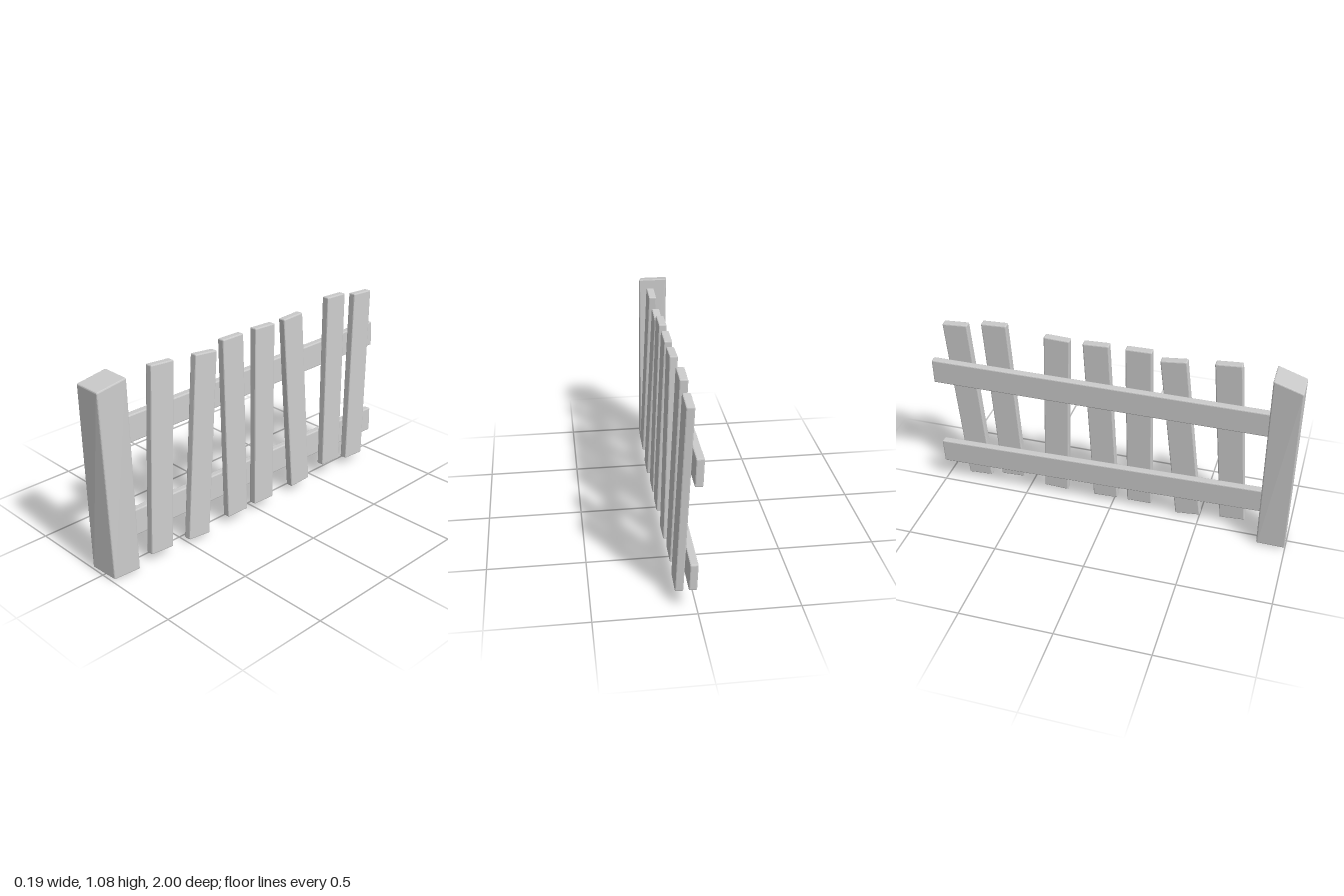
import * as THREE from 'three';
import { RoundedBoxGeometry } from 'three/addons/geometries/RoundedBoxGeometry.js';

const material = new THREE.MeshStandardMaterial({ color: 0xcccccc, flatShading: true });
const LEAN = 0.04; // the whole panel leans toward -x as it rises
const BEVEL = 0.006;

// Bevelled board from a to b; its thickness faces the leaning panel's normal
function board(name, a, b, width, thickness) {
  const along = b.clone().sub(a);
  const geometry = new RoundedBoxGeometry(thickness, along.length(), width, 1, BEVEL);
  const yAxis = along.normalize();
  const normal = new THREE.Vector3(1, LEAN, 0);
  const zAxis = new THREE.Vector3().crossVectors(normal, yAxis).normalize();
  const xAxis = new THREE.Vector3().crossVectors(yAxis, zAxis);
  geometry.applyMatrix4(new THREE.Matrix4().makeBasis(xAxis, yAxis, zAxis));
  const mesh = new THREE.Mesh(geometry, material);
  mesh.name = name;
  mesh.position.copy(a).add(b).multiplyScalar(0.5);
  return mesh;
}

// Point on a leaning plane; offset is its x at ground level
const onPanel = (offset, y, z) => new THREE.Vector3(offset - LEAN * y, y, z);

// Bevelled box whose corners are moved to eight given points
// (order: x low/high fastest, then z low/high, then y low/high)
function warpedPost(corners) {
  const size = [0.155, 1, 0.155];
  const geometry = new RoundedBoxGeometry(...size, 1, BEVEL);
  const p = geometry.attributes.position;
  for (let i = 0; i < p.count; i++) {
    const u = p.getX(i) / size[0] + 0.5;
    const v = p.getY(i) / size[1] + 0.5;
    const w = p.getZ(i) / size[2] + 0.5;
    const out = new THREE.Vector3();
    corners.forEach((c, k) => {
      const weight = (k & 1 ? u : 1 - u) * (k & 2 ? w : 1 - w) * (k & 4 ? v : 1 - v);
      out.addScaledVector(new THREE.Vector3(...c), weight);
    });
    p.setXYZ(i, out.x, out.y, out.z);
  }
  geometry.computeVertexNormals();
  const mesh = new THREE.Mesh(geometry, material);
  mesh.name = 'post';
  return mesh;
}

export function createModel() {
  const fence = new THREE.Group();
  fence.name = 'fence';

  // Crooked post with a sloping top
  fence.add(warpedPost([
    [-0.07, 0.01, 0.845], [0.085, 0, 0.83],
    [-0.077, 0.013, 1.0], [0.08, 0.005, 0.985],
    [-0.08, 1.048, 0.845], [0.078, 1.048, 0.845],
    [-0.1, 1.01, 1.0], [0.055, 1.01, 1.0],
  ]));

  // Horizontal rails, running from inside the post to the far end
  const rails = [['upperRail', 0.745, 0.752], ['lowerRail', 0.24, 0.203]];
  for (const [name, yPost, yEnd] of rails) {
    fence.add(board(name, onPanel(0.03, yPost, 0.88), onPanel(0.03, yEnd, -0.997), 0.142, 0.04));
  }

  // Pickets: bottom z, bottom y, top z, top y
  const pickets = [
    [0.687, 0.045, 0.61, 1.045],
    [0.437, 0.02, 0.33, 1.017],
    [0.157, 0.045, 0.147, 1.05],
    [-0.04, 0.043, -0.08, 1.047],
    [-0.333, 0.043, -0.29, 1.047],
    [-0.593, 0.077, -0.635, 1.078],
    [-0.797, 0.045, -0.857, 1.045],
  ];
  pickets.forEach(([z0, y0, z1, y1], i) => {
    fence.add(board(`picket${i + 1}`, onPanel(0.074, y0, z0), onPanel(0.074, y1, z1), 0.14, 0.042));
  });

  return fence;
}
